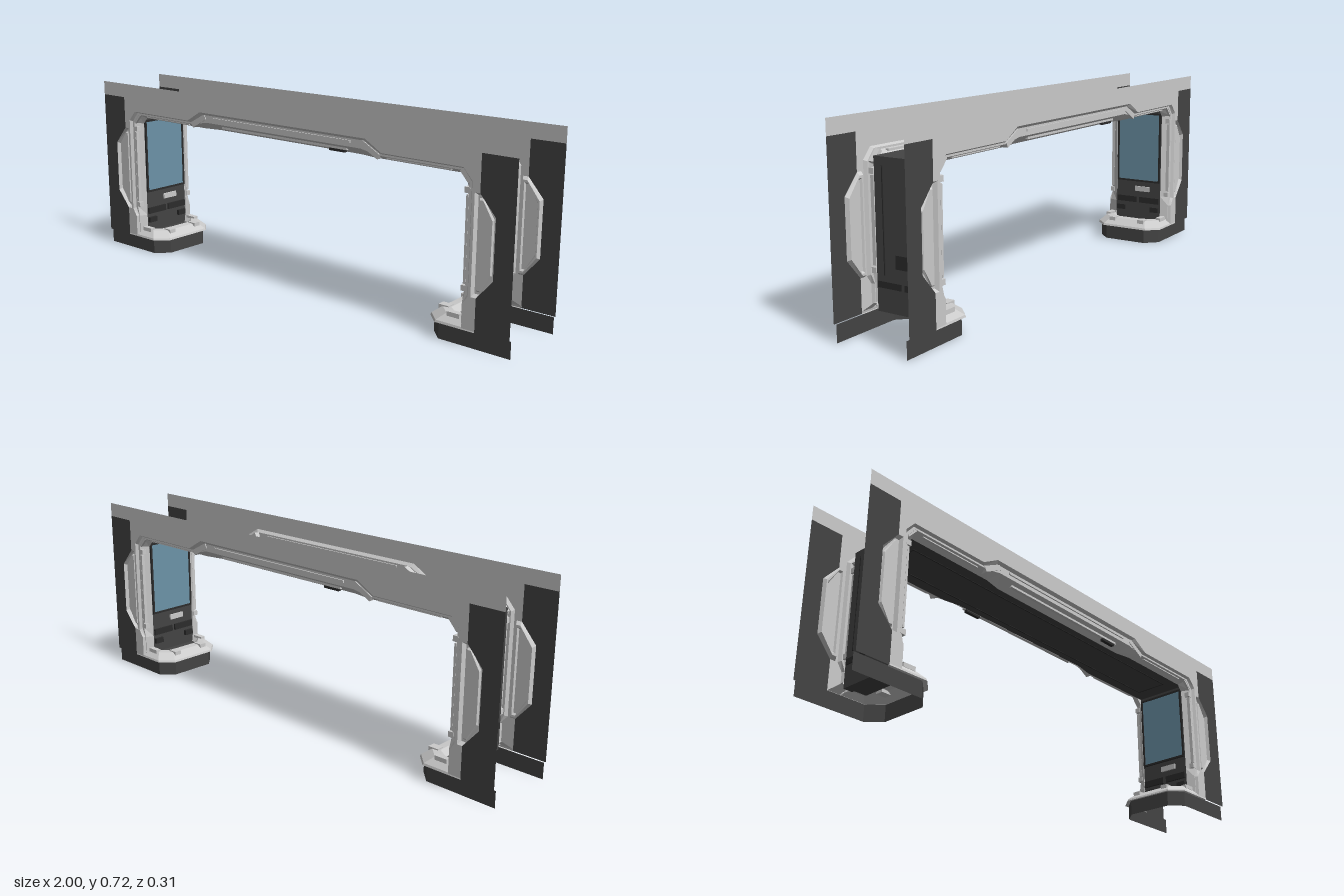
import * as THREE from 'three';

const mat = (color, side = THREE.DoubleSide) =>
  new THREE.MeshStandardMaterial({ color, side, flatShading: true });
const light = mat(0xcccccc), dark = mat(0x444444), black = mat(0x2c2c2c), glass = mat(0x6c93a8);

const add = (parent, name, geo, material) => {
  const m = new THREE.Mesh(geo, material);
  m.name = name;
  parent.add(m);
  return m;
};
const box = (parent, name, material, w, h, d, x, y, z, rz = 0) => {
  const m = add(parent, name, new THREE.BoxGeometry(w, h, d), material);
  m.position.set(x, y, z);
  m.rotation.z = rz;
  return m;
};
const shape = pts => new THREE.Shape(pts.map(p => new THREE.Vector2(p[0], p[1])));
const flat = (pts, z) => new THREE.ShapeGeometry(shape(pts)).translate(0, 0, z);
const mirrored = half => [...half, ...half.slice().reverse().map(([x, ...r]) => [-x, ...r])];

// Joins successive rows of 3D points with quads
function loft(rows, closed = false) {
  const n = rows[0].length, index = [];
  for (let r = 0; r < rows.length - 1; r++)
    for (let i = 0; i < (closed ? n : n - 1); i++) {
      const a = r * n + i, b = r * n + (i + 1) % n;
      index.push(a, b, b + n, a, b + n, a + n);
    }
  const g = new THREE.BufferGeometry();
  g.setAttribute('position', new THREE.Float32BufferAttribute(rows.flat(2), 3));
  g.setIndex(index);
  const out = g.toNonIndexed();
  out.computeVertexNormals();
  return out;
}

// One face of the wall: thin plates with a stepped reveal round the opening
function wallFace() {
  const g = new THREE.Group();
  const Z = 0.154, R = 0.143;
  const edge = [[0.82, 0.065], [0.82, 0.15], [0.84, 0.18], [0.84, 0.565], [0.805, 0.605],
    [0.48, 0.605], [0.41, 0.646]];
  add(g, 'wallPlate', flat([[-1, 0.66], [-1, 0.717], [1, 0.717], [1, 0.66], [0.87, 0.66], [0.87, 0.53],
    [0.85, 0.53], [0.85, 0.18], [0.87, 0.18], [0.87, 0.065], ...mirrored(edge),
    [-0.87, 0.065], [-0.87, 0.18], [-0.85, 0.18], [-0.85, 0.53], [-0.87, 0.53], [-0.87, 0.66]], Z), light);

  const at = (half, z) => mirrored(half).map(([x, y, zz]) => [x, y, zz ?? z]);
  const lip = [[0.815, 0.07], [0.815, 0.15], [0.832, 0.185], [0.832, 0.56], [0.8, 0.599],
    [0.47, 0.599], [0.4, 0.636]];
  const step = [[0.812, 0.075], [0.812, 0.15], [0.822, 0.19], [0.822, 0.555], [0.793, 0.592],
    [0.455, 0.592], [0.385, 0.606]];
  const inner = [[0.8, 0.08], [0.8, 0.15], [0.8, 0.19], [0.8, 0.55], [0.778, 0.575],
    [0.42, 0.575], [0.35, 0.575, 0.097]];
  add(g, 'openingTrim', loft([at(edge, Z), at(lip, R), at(step, R), at(inner, 0.11)]), light);

  // Bar and ends within the raised centre of the header
  box(g, 'headerBar', light, 0.62, 0.012, 0.014, 0, 0.594, 0.122);
  box(g, 'headerUpperBar', light, 0.68, 0.009, 0.01, 0, 0.625, 0.143);
  box(g, 'headerControl', black, 0.07, 0.02, 0.014, 0.265, 0.588, 0.12);

  for (const s of [-1, 1]) {
    add(g, 'sidePanel', flat([[1, 0.06], [1, 0.66], [0.87, 0.66], [0.87, 0.53], [0.93, 0.46],
      [0.93, 0.25], [0.87, 0.18], [0.87, 0.06]].map(([x, y]) => [s * x, y]), Z), dark);

    // Recessed six-sided side panel
    const hex = [[0.85, 0.18], [0.87, 0.18], [0.93, 0.25], [0.93, 0.46], [0.87, 0.53], [0.85, 0.53]];
    const ring = (k, z) => hex.map(([x, y]) =>
      [s * (0.89 + (x - 0.89) * k), 0.355 + (y - 0.355) * (1 - (1 - k) * 0.35), z]);
    add(g, 'sideRecess', loft([ring(1, Z), ring(0.84, 0.14), ring(0.7, 0.14), ring(0.6, 0.147)], true), light);
    add(g, 'sideRecessFloor', flat(ring(0.6, 0), 0.147), light);

    // Clamps and ribs on the trim
    box(g, 'headerClamp', light, 0.085, 0.02, 0.024, s * 0.425, 0.608, 0.134, -s * 0.5);
    box(g, 'cornerClamp', light, 0.05, 0.014, 0.02, s * 0.806, 0.575, 0.132, -s * 0.85);
    box(g, 'jambRib', light, 0.009, 0.3, 0.014, s * 0.817, 0.365, 0.136);
    box(g, 'headerRib', light, 0.26, 0.008, 0.012, s * 0.62, 0.588, 0.13);
    for (const y of [0.2, 0.53]) box(g, 'ribCollar', light, 0.022, 0.02, 0.02, s * 0.817, y, 0.134);
  }
  return g;
}

// One end of the passage: foot, foot trim and inner jamb with its screen
function sideEnd() {
  const g = new THREE.Group();
  const plan = (end, xEnd, z, c, y) => [[end, y, z], [xEnd + c, y, z], [xEnd, y, z - c],
    [xEnd, y, c - z], [xEnd + c, y, -z], [end, y, -z]];
  add(g, 'footBand', loft([plan(1, 0.675, 0.143, 0.05, 0), plan(1, 0.675, 0.143, 0.05, 0.062)]), dark);
  add(g, 'footTrim', loft([
    plan(0.87, 0.675, 0.143, 0.05, 0.06),
    plan(0.87, 0.665, 0.154, 0.05, 0.06),
    plan(0.87, 0.668, 0.152, 0.05, 0.068),
    plan(0.84, 0.70, 0.128, 0.045, 0.093),
    plan(0.84, 0.73, 0.116, 0.04, 0.095),
    plan(0.84, 0.75, 0.105, 0.035, 0.074)]), light);
  add(g, 'footFloor', new THREE.PlaneGeometry(0.09, 0.21).rotateX(-Math.PI / 2).translate(0.795, 0.074, 0), dark);
  for (const z of [-0.07, 0.07]) box(g, 'footClip', light, 0.04, 0.016, 0.03, 0.705, 0.09, z);
  for (const z of [-0.125, 0.125]) box(g, 'footSideClip', light, 0.05, 0.016, 0.022, 0.775, 0.094, z);

  box(g, 'jamb', dark, 0.036, 0.505, 0.218, 0.822, 0.3225, 0);
  box(g, 'screen', glass, 0.004, 0.3, 0.196, 0.802, 0.405, 0);
  for (const y of [0.252, 0.558]) box(g, 'screenRim', black, 0.008, 0.008, 0.21, 0.801, y, 0);
  for (const z of [-0.102, 0.102]) box(g, 'screenRim', black, 0.008, 0.31, 0.008, 0.801, 0.405, z);

  // Controls below the screen
  box(g, 'controlPlate', light, 0.008, 0.022, 0.07, 0.801, 0.215, 0.02);
  for (const z of [-0.055, 0.055]) {
    box(g, 'controlVent', black, 0.01, 0.026, 0.096, 0.801, 0.165, z);
    box(g, 'lowerBlock', black, 0.016, 0.022, 0.04, 0.8, 0.125, z * 1.5);
  }

  // Shallow detail on the hidden side of the jamb
  for (const z of [-0.075, 0.075]) box(g, 'jambBackRib', black, 0.004, 0.36, 0.004, 0.841, 0.375, z);
  box(g, 'jambBackBox', black, 0.004, 0.046, 0.055, 0.841, 0.245, 0);
  for (const z of [-0.055, 0.055]) box(g, 'jambBackVent', black, 0.004, 0.022, 0.098, 0.841, 0.163, z);
  return g;
}

export function createModel() {
  const model = new THREE.Group();
  model.name = 'doorwayWall';

  for (const turn of [0, Math.PI]) {
    const face = wallFace();
    face.name = turn ? 'backWallFace' : 'frontWallFace';
    face.rotation.y = turn;
    const end = sideEnd();
    end.name = turn ? 'rightEnd' : 'leftEnd';
    end.rotation.y = turn;
    model.add(face, end);
  }

  // Ceiling slab, narrower along its middle
  const side = mirrored([[0.84, 0.11], [0.42, 0.11], [0.35, 0.096]]);
  const outline = [...side, ...side.slice().reverse().map(([x, z]) => [x, -z])];
  const slab = new THREE.ExtrudeGeometry(shape(outline), { depth: 0.008, bevelEnabled: false });
  add(model, 'ceiling', slab.rotateX(-Math.PI / 2).translate(0, 0.575, 0), dark);

  // Raised spine above the ceiling
  const spine = new THREE.ExtrudeGeometry(
    shape([[-0.066, 0.582], [0.066, 0.582], [0.05, 0.593], [-0.05, 0.593]]), { depth: 1.48, bevelEnabled: false });
  add(model, 'ceilingSpine', spine.translate(0, 0, -0.74).rotateY(Math.PI / 2), dark);

  // Seams on the underside of the ceiling
  for (const z of [-0.065, 0.065]) box(model, 'ceilingSeam', black, 1.46, 0.003, 0.005, 0, 0.575, z);
  for (const x of [-0.73, 0.73]) box(model, 'ceilingSeam', black, 0.005, 0.003, 0.13, x, 0.575, 0);
  return model;
}
